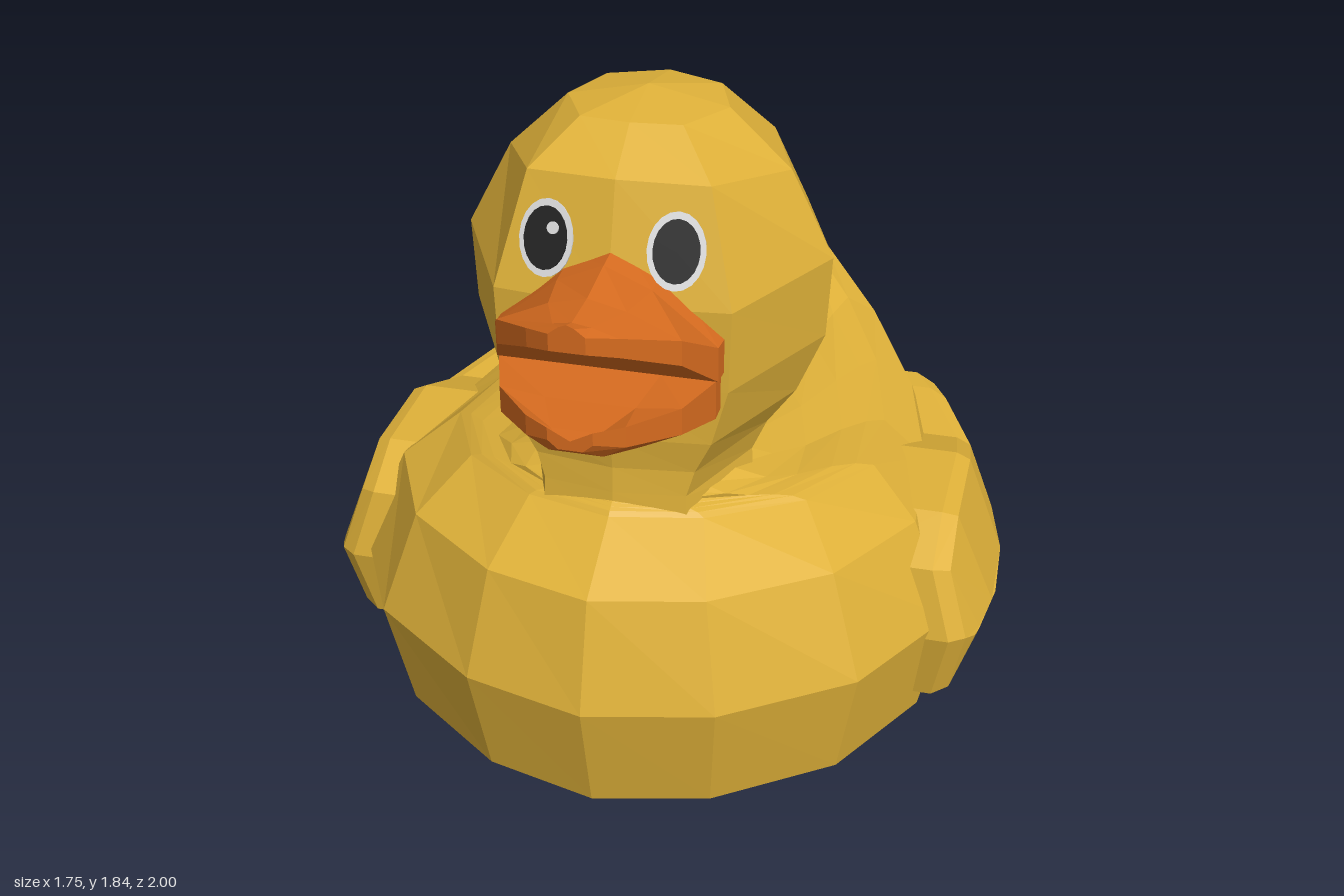
import * as THREE from 'three';

const mat = (name, color) => {
  const m = new THREE.MeshStandardMaterial({ color });
  m.name = name;
  return m;
};

// Skin closed rings of points into a faceted, capped solid
function loft(rings, capCentres = []) {
  const pos = [];
  const tri = (a, b, c) => pos.push(...a, ...b, ...c);
  const mean = (r) => [0, 1, 2].map((k) => r.reduce((s, p) => s + p[k], 0) / r.length);
  const n = rings[0].length;
  const first = rings[0];
  const last = rings[rings.length - 1];
  const c0 = capCentres[0] || mean(first);
  const c1 = capCentres[1] || mean(last);
  for (let j = 0; j < n; j++) {
    const k = (j + 1) % n;
    for (let i = 0; i + 1 < rings.length; i++) {
      const lo = rings[i], hi = rings[i + 1];
      tri(lo[j], lo[k], hi[j]);
      tri(lo[k], hi[k], hi[j]);
    }
    tri(c0, first[k], first[j]);
    tri(c1, last[j], last[k]);
  }
  const g = new THREE.BufferGeometry();
  g.setAttribute('position', new THREE.Float32BufferAttribute(pos, 3));
  g.computeVertexNormals();
  return g;
}

export function createModel() {
  const duck = new THREE.Group();
  duck.name = 'toyDuck';
  const yellow = mat('yellow', 0xdfb139);
  const orange = mat('orange', 0xd66b1f);
  const white = mat('eyeWhite', 0xdcdcdc);
  const black = mat('pupilBlack', 0x222222);
  const add = (name, geo, material, parent = duck) => {
    const m = new THREE.Mesh(geo, material);
    m.name = name;
    parent.add(m);
    return m;
  };

  // Body: egg-shaped rings from the keel up, swept up at the back into the tail
  // [front z, back z, half width, front y, side y, back y]
  const bodyRings = [
    [0.40, -0.33, 0.34, 0.01, 0.01, 0.01],
    [0.72, -0.65, 0.61, 0.07, 0.10, 0.09],
    [0.93, -0.87, 0.69, 0.24, 0.22, 0.28],
    [1.00, -1.00, 0.75, 0.55, 0.50, 0.57],
    [0.92, -0.98, 0.65, 0.82, 0.72, 0.97],
    [0.73, -0.90, 0.53, 0.925, 0.785, 1.00],
    [0.72, -0.77, 0.49, 0.935, 0.81, 0.92],
    [0.71, -0.57, 0.44, 0.94, 0.835, 0.85],
    [0.70, -0.28, 0.37, 0.945, 0.86, 0.86],
    [0.69, 0.00, 0.31, 0.95, 0.91, 0.92],
    [0.66, 0.13, 0.23, 0.955, 0.955, 0.955],
  ].map(([zf, zb, w, yf, ys, yb]) => Array.from({ length: 16 }, (_, j) => {
    const s = Math.sin((j / 16) * Math.PI * 2);
    const c = Math.cos((j / 16) * Math.PI * 2);
    const y = c > 0 ? ys + (yf - ys) * c : ys + (yb - ys) * c ** 4;
    const egg = c > 0 ? 1 + 0.36 * c * s * s : 1 + 0.15 * c;
    return [w * s * egg, y, (zf + zb) / 2 + ((zf - zb) / 2) * c];
  }));
  add('body', loft(bodyRings, [[0, 0, 0.03]]), yellow);

  // Head and neck: eight-sided rings with a flat face
  // [y, back z, front z, half width, rise at the front]
  const half = [[0.62, 0.95], [1, 0.13], [0.73, -0.68]];
  const plan = [[0, 1.03], ...half, [0, -1], ...half.map(([x, z]) => [-x, z]).reverse()];
  const headRings = [
    [0.91, 0.10, 0.69, 0.28, 0],
    [0.97, 0.09, 0.685, 0.275, 0],
    [1.035, 0.04, 0.68, 0.305, 0],
    [1.12, -0.02, 0.69, 0.37, 0],
    [1.26, -0.09, 0.69, 0.43, 0],
    [1.46, -0.10, 0.69, 0.44, 0],
    [1.655, -0.03, 0.61, 0.335, 0.07],
    [1.80, 0.13, 0.49, 0.19, 0.01],
  ].map(([y, zb, zf, w, rise]) => plan.map(([x, z]) => [
    x * w, y + rise * Math.max(0, z), (zb + zf) / 2 + (z * (zf - zb)) / 2,
  ]));
  add('head', loft(headRings, [null, [0, 1.84, 0.33]]), yellow);

  // Open beak, its halves meeting at the face: [z, half width, lip y, side y, outer y]
  const upper = [
    [0.60, 0.26, 1.31, 1.39, 1.58],
    [0.72, 0.255, 1.315, 1.40, 1.57],
    [0.85, 0.205, 1.42, 1.48, 1.555],
    [0.96, 0.10, 1.485, 1.53, 1.555],
    [1.00, 0.04, 1.505, 1.545, 1.57],
  ].map(([z, w, lip, side, top]) => [
    [w, lip, z], [w, side, z], [w * 0.42, side + (top - side) * 0.72, z], [0, top, z],
    [-w * 0.42, side + (top - side) * 0.72, z], [-w, side, z], [-w, lip, z], [0, lip, z],
  ]);
  add('upperBeak', loft(upper), orange);
  const lower = [
    [0.60, 0.25, 1.315, 1.22, 1.165],
    [0.72, 0.25, 1.315, 1.22, 1.175],
    [0.85, 0.205, 1.315, 1.25, 1.205],
    [0.96, 0.11, 1.32, 1.27, 1.24],
    [1.00, 0.05, 1.32, 1.29, 1.27],
  ].map(([z, w, lip, side, low]) => {
    const dip = lip - 0.1 * Math.max(0, z - 0.72);
    return [
      [w, lip, z], [w * 0.5, dip, z], [-w * 0.5, dip, z], [-w, lip, z],
      [-w, side, z], [-w * 0.55, low, z], [w * 0.55, low, z], [w, side, z],
    ];
  });
  add('lowerBeak', loft(lower), orange);

  // Wings: raised pads with a bevelled rim and a lengthwise ridge, outline in [z, y]
  const outline = [
    [0.46, 0.50], [0.42, 0.68], [0.28, 0.76], [0, 0.765], [-0.23, 0.67], [-0.43, 0.70], [-0.51, 0.70],
    [-0.54, 0.50], [-0.50, 0.36], [-0.28, 0.22], [0, 0.155], [0.22, 0.20], [0.42, 0.30],
  ];
  const cz = -0.02, cy = 0.48;
  const bulge = (z, y) => 0.88 - 0.5 * (z - 0.12) ** 2 - (y > cy ? 0.38 : 0.31) * Math.abs(y - cy);
  for (const s of [1, -1]) {
    const ring = (scaleZ, scaleY, drop) => {
      const r = outline.map(([z0, y0]) => {
        const z = cz + (z0 - cz) * scaleZ;
        const y = cy + (y0 - cy) * scaleY;
        return [s * (bulge(z, y) - drop), y, z];
      });
      return s > 0 ? r.reverse() : r;
    };
    const rings = [ring(1, 1, 0.25), ring(1, 1, 0.03), ring(0.94, 0.94, 0), ring(0.85, 0.02, 0)];
    add(s > 0 ? 'leftWing' : 'rightWing', loft(rings), yellow);
  }

  // Eyes: thin oval layers lying on the face
  for (const s of [1, -1]) {
    const eye = new THREE.Group();
    eye.name = s > 0 ? 'leftEye' : 'rightEye';
    eye.position.set(s * 0.147, 1.592, 0.662);
    eye.rotation.set(-0.36, s * 0.15, 0);
    const oval = (name, rx, ry, z, m) => {
      const g = new THREE.CylinderGeometry(1, 1, 0.004, 20);
      g.rotateX(Math.PI / 2).scale(rx, ry, 1).translate(0, 0, z);
      return add(name, g, m, eye);
    };
    oval('eyeWhite', 0.065, 0.087, 0, white);
    oval('pupil', 0.052, 0.071, 0.004, black);
    if (s < 0) oval('glint', 0.014, 0.014, 0.008, white).position.set(0.018, 0.024, 0);
    duck.add(eye);
  }
  return duck;
}
